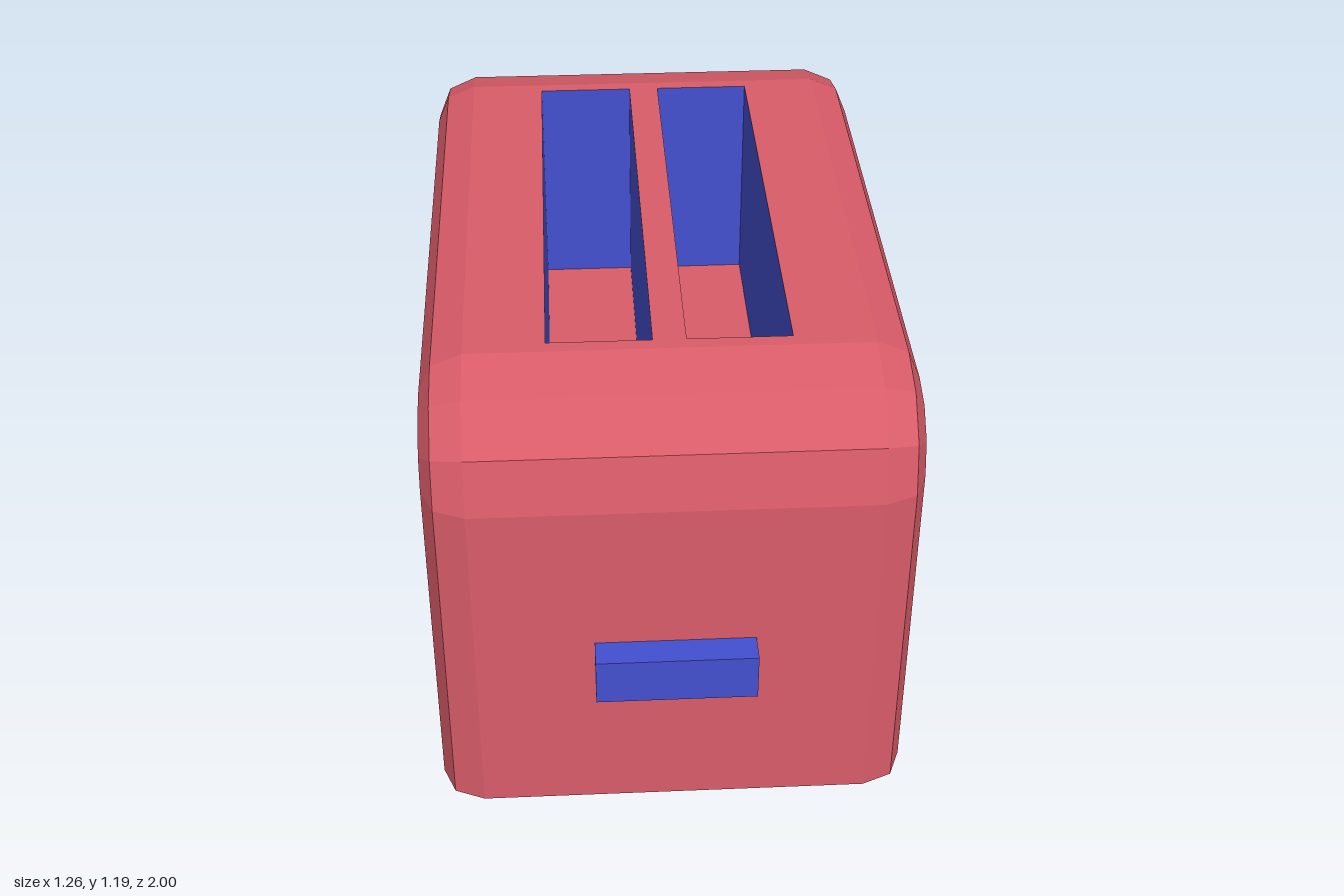
import * as THREE from 'three';

const red = new THREE.MeshStandardMaterial({ color: 0xd95c69, flatShading: true });
const blue = new THREE.MeshStandardMaterial({ color: 0x4350d0, flatShading: true });
const blueWalls = new THREE.MeshStandardMaterial({ color: 0x4350d0, flatShading: true, side: THREE.DoubleSide });

const H = 1.187, HALF_W = 0.59, HALF_L = 0.948;   // body height, half width, half length
const R = 0.27, BEVEL = 0.106;                    // end rounding, side edge bevel
const SLOT = { x: 0.165, w: 0.25, l: 1.284, depth: 0.6 };

// Arched side profile as [z, y] points, shrunk by an inset (the base stays on the ground)
function profile(inset) {
  const half = [[HALF_L - inset, 0]];
  for (let k = 0; k <= 3; k++) {
    const a = (k * Math.PI) / 6;
    half.push([HALF_L - R + (R - inset) * Math.cos(a), H - R + (R - inset) * Math.sin(a)]);
  }
  return [...half, ...half.slice().reverse().map(([z, y]) => [-z, y])];
}

// Shell lofted across x, leaving the flat top open for the slotted panel
function shellGeometry() {
  const bevel = [0, 1, 2].map((k) => {
    const a = (k * Math.PI) / 4;
    return [HALF_W - BEVEL * (1 - Math.cos(a)), BEVEL * (1 - Math.sin(a))];
  });
  const sections = [...bevel.map(([x, d]) => [-x, d]), ...bevel.slice().reverse()];
  const n = 10, last = (sections.length - 1) * n;
  const pos = [], index = [];
  for (const [x, inset] of sections) for (const [z, y] of profile(inset)) pos.push(x, y, z);
  for (let i = 0; i < sections.length - 1; i++) {
    for (let j = 0; j < n; j++) {
      if (i === 2 && j === 4) continue;
      const a = i * n + j, d = i * n + ((j + 1) % n);
      index.push(a, a + n, d + n, a, d + n, d);
    }
  }
  for (let k = 1; k < n - 1; k++) {
    index.push(0, k, k + 1, last, last + k + 1, last + k);
  }
  const g = new THREE.BufferGeometry();
  g.setAttribute('position', new THREE.Float32BufferAttribute(pos, 3));
  g.setIndex(index);
  const flat = g.toNonIndexed();
  flat.computeVertexNormals();
  return flat;
}

// Counter-clockwise rectangle
function rect(path, cx, w, l) {
  path.moveTo(cx - w / 2, -l / 2);
  path.lineTo(cx + w / 2, -l / 2);
  path.lineTo(cx + w / 2, l / 2);
  path.lineTo(cx - w / 2, l / 2);
  path.closePath();
  return path;
}

export function createModel() {
  const model = new THREE.Group();
  model.name = 'toaster';
  const add = (name, geometry, material, x = 0, y = 0, z = 0) => {
    const mesh = new THREE.Mesh(geometry, material);
    mesh.name = name;
    mesh.position.set(x, y, z);
    model.add(mesh);
    return mesh;
  };

  add('bodyShell', shellGeometry(), red);

  // Top panel with two slot openings
  const panel = rect(new THREE.Shape(), 0, 2 * (HALF_W - BEVEL), 2 * (HALF_L - R));
  for (const s of [-1, 1]) panel.holes.push(rect(new THREE.Path(), s * SLOT.x, SLOT.w, SLOT.l));
  add('topPanel', new THREE.ShapeGeometry(panel).rotateX(-Math.PI / 2), red, 0, H, 0);

  // Bread slots: coloured walls and a body-coloured floor
  for (const [s, side] of [[-1, 'right'], [1, 'left']]) {
    const walls = new THREE.CylinderGeometry(Math.SQRT1_2, Math.SQRT1_2, 1, 4, 1, true)
      .rotateY(Math.PI / 4).scale(SLOT.w, SLOT.depth, SLOT.l);
    add(side + 'SlotWalls', walls, blueWalls, s * SLOT.x, H - SLOT.depth / 2, 0);
    const floor = new THREE.PlaneGeometry(SLOT.w, SLOT.l).rotateX(-Math.PI / 2);
    add(side + 'SlotFloor', floor, red, s * SLOT.x, H - SLOT.depth, 0);
  }

  // Push lever on the front, its left end in the body colour
  add('lever', new THREE.BoxGeometry(0.39, 0.125, 0.09),
    [red, blue, blue, blue, blue, blue], 0, 0.4585, 0.976);

  // The toaster stands slightly turned
  model.rotation.y = 0.046;
  model.position.z = -0.03;
  return model;
}
